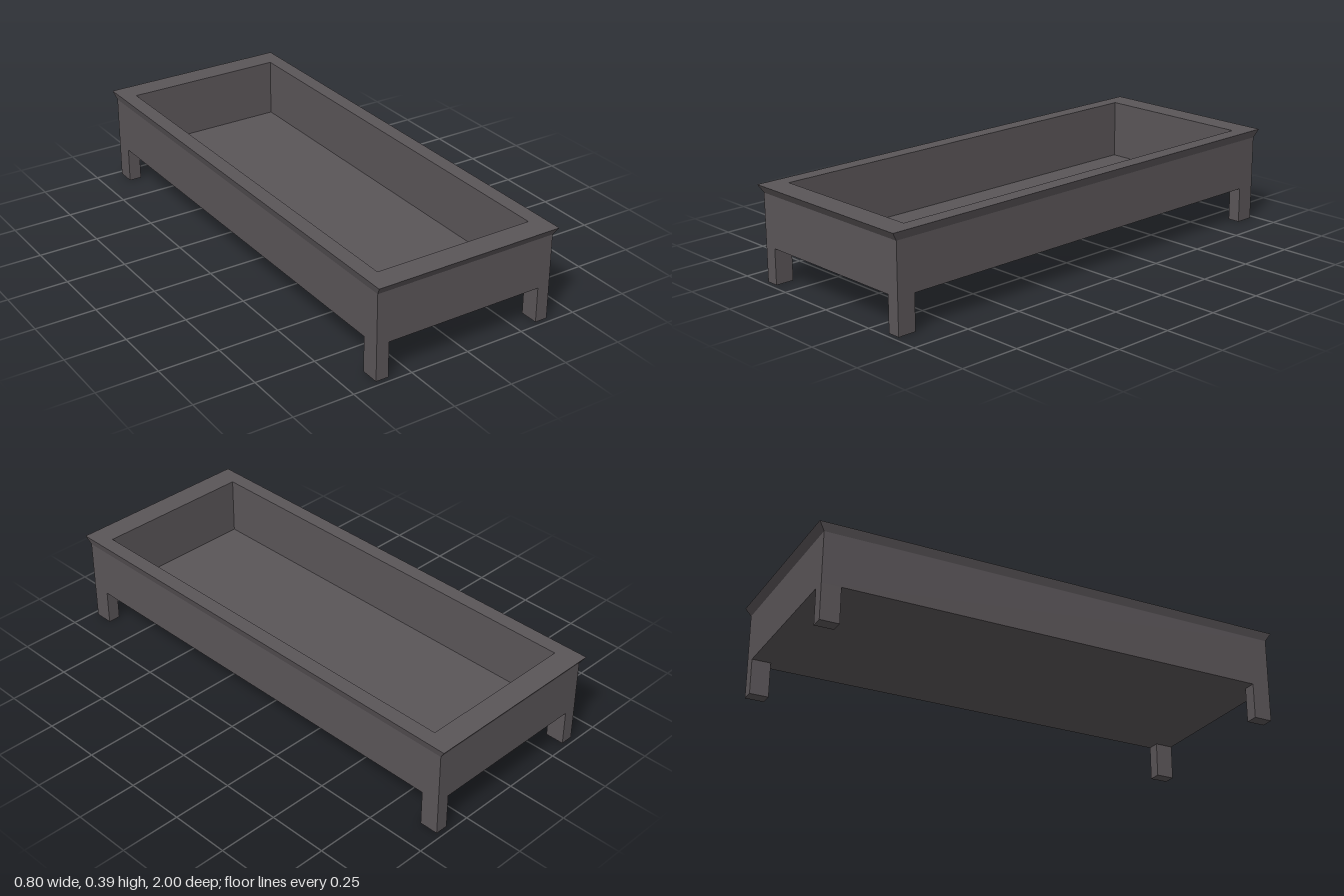
import * as THREE from 'three';

// Corners of a horizontal rectangle, counterclockwise seen from above
const ring = ([hx, hz, y]) => [[hx, y, hz], [hx, y, -hz], [-hx, y, -hz], [-hx, y, hz]];

// Skin of flat quads through successive rectangular rings; caps optional
function ringSkin(profile, capStart, capEnd) {
  const pos = [];
  const quad = (a, b, c, d) => pos.push(...a, ...b, ...c, ...a, ...c, ...d);
  const rings = profile.map(ring);
  for (let r = 0; r < rings.length - 1; r++) {
    for (let i = 0; i < 4; i++) {
      const j = (i + 1) % 4;
      quad(rings[r][i], rings[r][j], rings[r + 1][j], rings[r + 1][i]);
    }
  }
  if (capStart) quad(...[...rings[0]].reverse());
  if (capEnd) quad(...rings[rings.length - 1]);
  const geo = new THREE.BufferGeometry();
  geo.setAttribute('position', new THREE.Float32BufferAttribute(pos, 3));
  geo.computeVertexNormals();
  return geo;
}

export function createModel() {
  const group = new THREE.Group();
  const darkGrey = new THREE.MeshStandardMaterial({ color: 0x5a5558 });
  darkGrey.name = 'dark grey';
  const add = (name, geo) => {
    const mesh = new THREE.Mesh(geo, darkGrey);
    mesh.name = name;
    group.add(mesh);
    return mesh;
  };

  const bottom = 0.147, lip = 0.358, top = 0.392;
  const bx = 0.39, bz = 0.978;   // outer walls
  const ix = 0.337, iz = 0.9;    // inner opening

  // Outer walls with the underside
  add('outerWalls', ringSkin([[bx, bz, bottom], [bx, bz, lip]], true, false));
  // Flared rim and its flat top
  add('rim', ringSkin([[bx, bz, lip], [0.4, 1, top], [ix, iz, top]], false, false));
  // Inner walls and floor of the tray
  add('tray', ringSkin([[ix, iz, top], [ix, iz, bottom + 0.001]], false, true));

  // Four corner legs, flush with the outer walls
  const lx = bx - ix, lz = bz - iz;
  for (const sx of [1, -1]) {
    for (const sz of [1, -1]) {
      const name = (sz > 0 ? 'front' : 'back') + (sx > 0 ? 'Left' : 'Right') + 'Leg';
      add(name, new THREE.BoxGeometry(lx, bottom, lz))
        .position.set(sx * (bx - lx / 2), bottom / 2, sz * (bz - lz / 2));
    }
  }
  return group;
}
